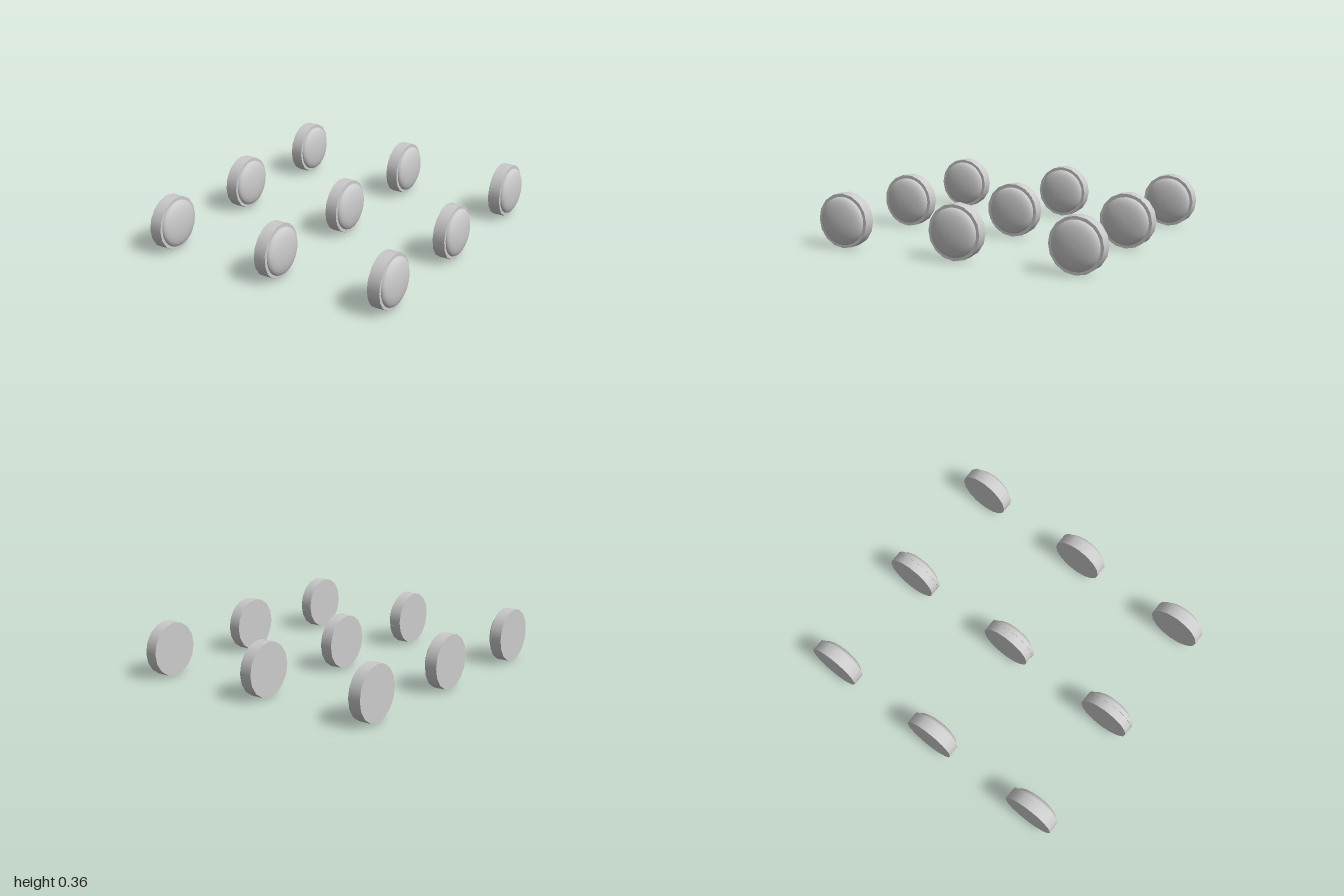
import * as THREE from 'three';

const material = new THREE.MeshStandardMaterial({ color: 0xcccccc });
const R = 0.18, DEPTH = 0.083;

// Builds a mesh from a geometry whose axis is turned from y to x
function part(name, geometry, x = 0) {
  geometry.rotateZ(-Math.PI / 2);
  const mesh = new THREE.Mesh(geometry, material);
  mesh.name = name;
  mesh.position.x = x;
  return mesh;
}

// Shallow pillow-shaped cap with a rounded shoulder
function domeGeometry() {
  const profile = [
    [0.158, -0.005], [0.158, 0.004], [0.154, 0.013], [0.145, 0.022], [0.128, 0.031],
    [0.105, 0.038], [0.075, 0.044], [0.04, 0.048], [0, 0.049],
  ].map(([r, y]) => new THREE.Vector2(r, y));
  return new THREE.LatheGeometry(profile, 32);
}

function createButton(doubled) {
  const button = new THREE.Group();
  button.name = 'button';
  button.add(part('base', new THREE.CylinderGeometry(R, R, DEPTH, 16), DEPTH / 2));
  button.add(part('domedCap', domeGeometry(), DEPTH));

  // Middle buttons carry a slightly skewed second cap and a thin collar
  if (doubled) {
    const cap = part('skewedCap', domeGeometry(), DEPTH - 0.001);
    cap.rotation.set(0, -0.015, -0.015);
    const collar = part('collar', new THREE.CylinderGeometry(R, R, 0.024, 16, 1, false, Math.PI / 16), 0.07);
    collar.position.y = 0.002;
    collar.position.z = 0.002;
    button.add(cap, collar);
  }
  return button;
}

export function createModel() {
  const model = new THREE.Group();
  model.name = 'buttonGrid';

  // Three by three grid, every cap facing +x
  [-0.88, -0.061, 0.745].forEach((x, column) => {
    for (const z of [-0.82, 0, 0.82]) {
      const button = createButton(column === 1);
      button.position.set(x, R, z);
      model.add(button);
    }
  });
  return model;
}
